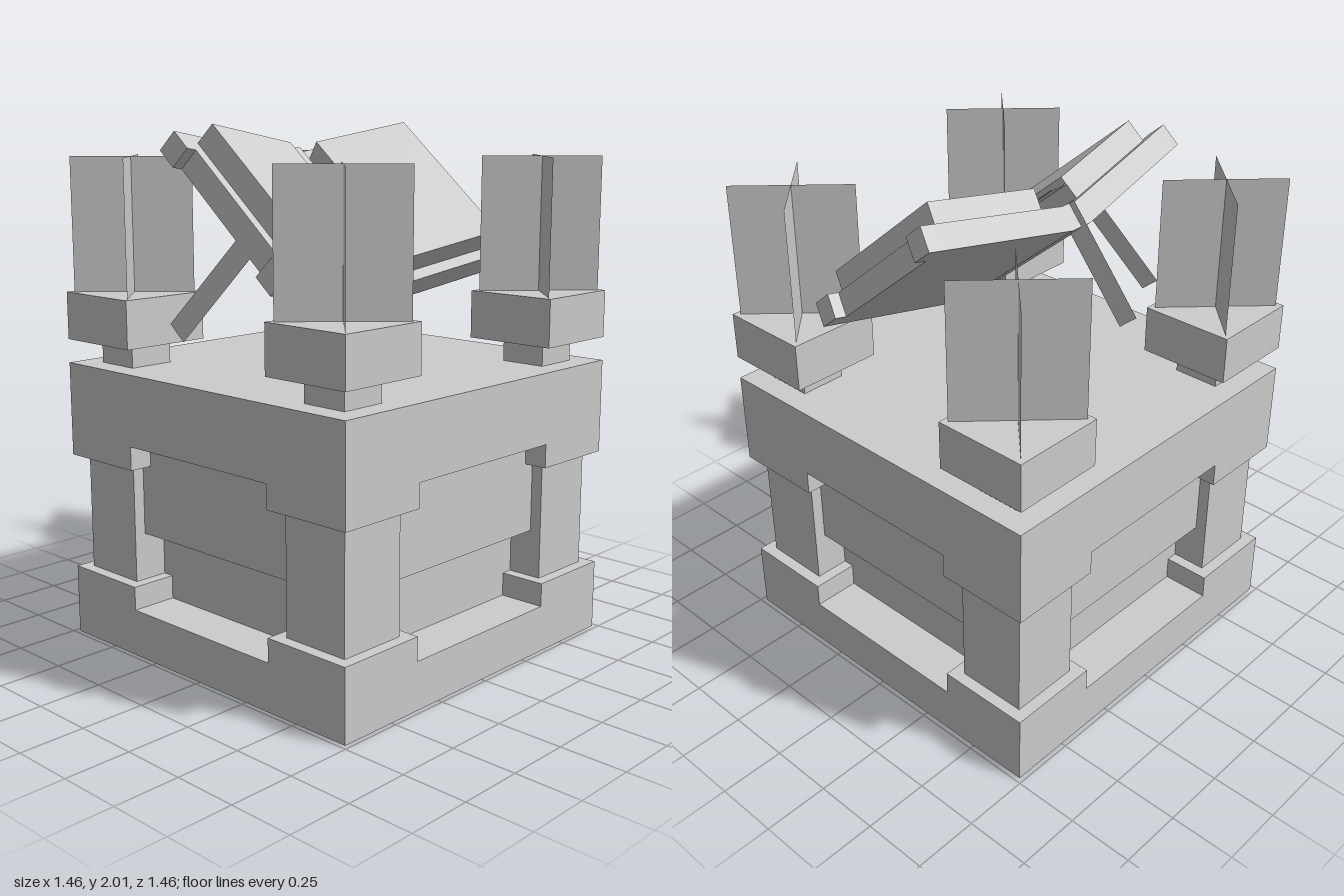
import * as THREE from 'three';

const U = 0.0915; // one block unit
const FOLD = THREE.MathUtils.degToRad(12);
const TILT = THREE.MathUtils.degToRad(40);

export function createModel() {
  const model = new THREE.Group();
  model.name = 'pedestalWithBook';
  const stone = new THREE.MeshStandardMaterial({ color: 0xcccccc, side: THREE.DoubleSide });
  stone.name = 'plainGrey';

  const add = (parent, name, geometry) => {
    const mesh = new THREE.Mesh(geometry, stone);
    mesh.name = name;
    parent.add(mesh);
    return mesh;
  };
  // box given by its limits in block units
  const box = (parent, name, x0, x1, y0, y1, z0, z1) => {
    const g = new THREE.BoxGeometry((x1 - x0) * U, (y1 - y0) * U, (z1 - z0) * U);
    g.translate((x0 + x1) / 2 * U, (y0 + y1) / 2 * U, (z0 + z1) / 2 * U);
    return add(parent, name, g);
  };
  // upright sheet in the yz plane, turned about y
  const sheet = (parent, name, w, h, x, y, z, turn = Math.PI / 2) => {
    const mesh = add(parent, name, new THREE.PlaneGeometry(w * U, h * U).rotateY(turn));
    mesh.position.set(x * U, y * U, z * U);
    return mesh;
  };

  // pedestal core and slabs
  const pedestal = new THREE.Group();
  pedestal.name = 'pedestal';
  model.add(pedestal);
  box(pedestal, 'baseSlab', -8, 8, 0, 2, -8, 8);
  box(pedestal, 'core', -6, 6, 2, 9, -6, 6);
  box(pedestal, 'panelAcrossZ', -4.5, 4.5, 5, 9, -7, 7);
  box(pedestal, 'panelAcrossX', -7, 7, 5, 9, -4.5, 4.5);
  box(pedestal, 'topSlab', -8, 8, 9, 12, -8, 8);

  // corners: feet, pillars, brackets and candles
  for (const sx of [-1, 1]) for (const sz of [-1, 1]) {
    const corner = (name, a, b, y0, y1) => box(pedestal, name,
      Math.min(sx * a, sx * b), Math.max(sx * a, sx * b), y0, y1,
      Math.min(sz * a, sz * b), Math.max(sz * a, sz * b));
    corner('cornerFoot', 4, 8, 2, 3);
    corner('cornerPillar', 4.5, 7.5, 3, 8);
    corner('cornerBracket', 4, 8, 8, 9);
    corner('candleStem', 5, 7, 12, 13);
    corner('candleHolder', 4, 8, 13, 15);
    for (const turn of [Math.PI / 4, -Math.PI / 4])
      sheet(pedestal, 'flameSheet', 5, 5.6, sx * 6, 17.8, sz * 6, turn);
  }

  // open book, tilted towards the front
  const book = new THREE.Group();
  book.name = 'openBook';
  book.position.set(0, 1.58, -0.058);
  book.rotation.x = TILT;
  model.add(book);
  box(book, 'spine', -0.5, 0.5, 0, 1, -4, 4);
  for (const s of [-1, 1]) {
    const half = new THREE.Group();
    half.name = s > 0 ? 'leftHalf' : 'rightHalf';
    half.position.x = s * 0.5 * U;
    half.rotation.z = s * FOLD;
    book.add(half);
    const part = (name, a, b, y0, y1, z0, z1) =>
      box(half, name, Math.min(s * a, s * b), Math.max(s * a, s * b), y0, y1, z0, z1);
    part('cover', 0, 6.2, 0, 1, -4, 4);
    part('coverTabBack', 6.2, 6.7, 0, 1, -4, -3);
    part('coverTabFront', 6.2, 6.7, 0, 1, 3, 4);
    part('pages', 0.7, 5.7, 1, 2, -3.5, 3.5);
    if (s < 0) sheet(half, 'sideStrap', 1, 5, s * 6.2, -2, 1.5);
  }
  // loose leaf beside the spine and ribbon hanging from it
  box(book, 'looseLeaf', -0.85, 0, 1.76, 1.8, -3.5, 3.5);
  sheet(book, 'ribbon', 1, 5, 0, -1.5, -3.8);

  return model;
}
